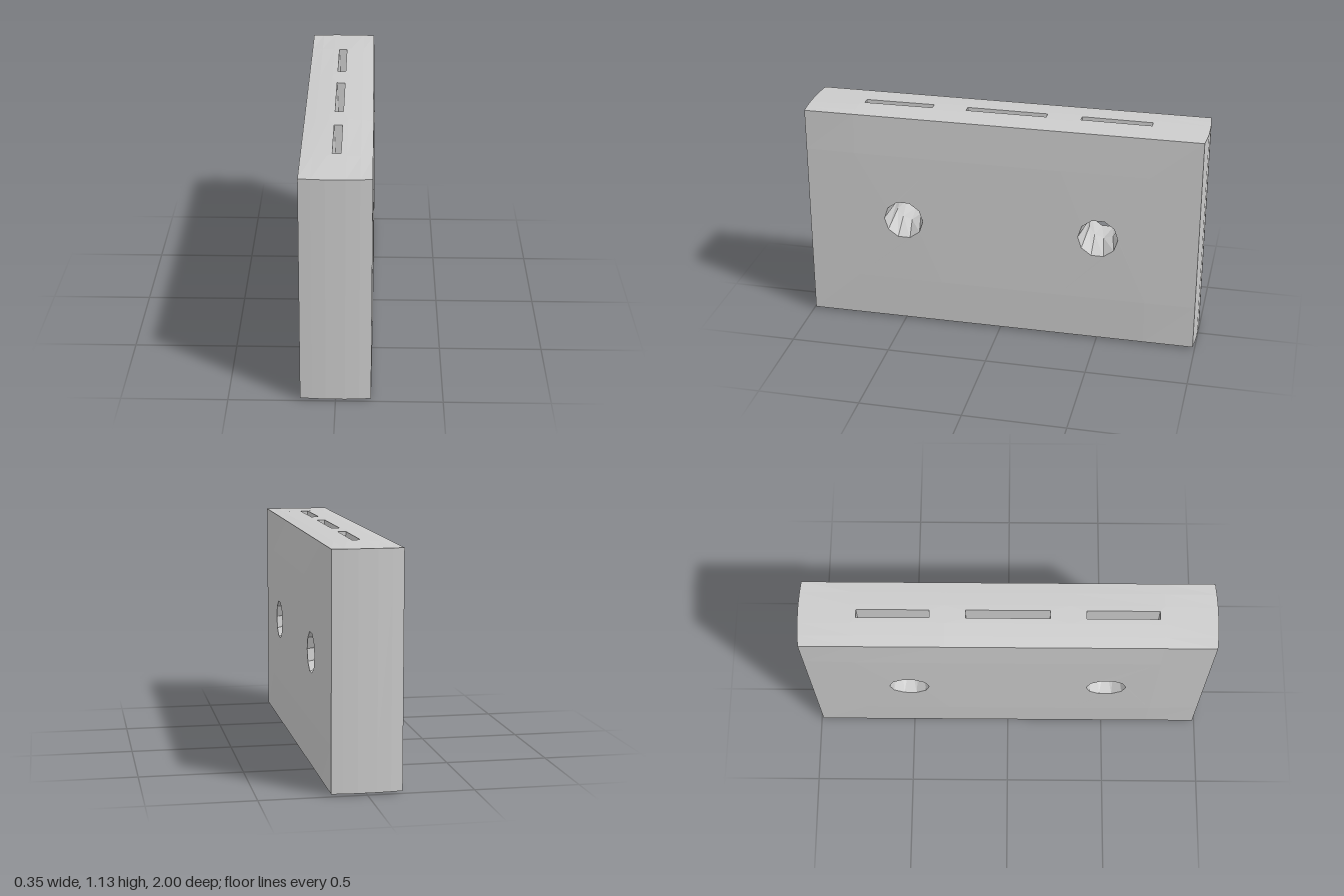
import * as THREE from 'three';
import { mergeGeometries } from 'three/addons/utils/BufferGeometryUtils.js';

const HX = 0.165, HY = 0.555, HZ = 0.99, MID = 0.565;

// Swells a point of the plain box slightly outwards, so all faces are gently domed
function bulge(x, y, z) {
  const a = x / HX, b = y / HY, c = z / HZ;
  return new THREE.Vector3(
    a * (HX + 0.008 * (1 - b ** 4) * (1 - c ** 4)),
    MID + b * (HY + 0.01 * (1 - a * a) * (1 - c ** 6)),
    c * (HZ + 0.01 * (1 - a * a)));
}

// A face split into cells; each opening is cut from the cell around it
function panel(us, vs, place, openings = []) {
  const cells = [];
  for (let i = 0; i + 1 < us.length; i++) {
    for (let j = 0; j + 1 < vs.length; j++) {
      const [u0, u1, v0, v1] = [us[i], us[i + 1], vs[j], vs[j + 1]];
      const shape = new THREE.Shape([[u0, v0], [u1, v0], [u1, v1], [u0, v1]]
        .map(p => new THREE.Vector2(...p)));
      for (const pts of openings) {
        const inside = pts.every(p => p.x > u0 && p.x < u1 && p.y > v0 && p.y < v1);
        if (inside) shape.holes.push(new THREE.Path(pts));
      }
      const geo = new THREE.ShapeGeometry(shape);
      const pos = geo.attributes.position;
      for (let k = 0; k < pos.count; k++) {
        const p = bulge(...place(pos.getX(k), pos.getY(k)));
        pos.setXYZ(k, p.x, p.y, p.z);
      }
      cells.push(geo);
    }
  }
  const merged = mergeGeometries(cells);
  merged.computeVertexNormals();
  return merged;
}

// Skin between closed rings of equal point count
function loft(rings, capLast = false) {
  const n = rings[0].length, index = [];
  for (let r = 0; r + 1 < rings.length; r++) {
    for (let i = 0; i < n; i++) {
      const a = r * n + i, b = r * n + (i + 1) % n;
      index.push(a, b, a + n, b, b + n, a + n);
    }
  }
  const last = (rings.length - 1) * n;
  if (capLast) for (let i = 1; i + 1 < n; i++) index.push(last, last + i, last + i + 1);
  const geo = new THREE.BufferGeometry().setFromPoints(rings.flat());
  geo.setIndex(index);
  geo.computeVertexNormals();
  return geo;
}

export function createModel() {
  const group = new THREE.Group();
  const outer = new THREE.MeshStandardMaterial({ color: 0xcccccc, flatShading: true });
  const inner = new THREE.MeshStandardMaterial({ color: 0xcccccc, flatShading: true, side: THREE.DoubleSide });
  const add = (name, geo, mat) => {
    const mesh = new THREE.Mesh(geo, mat);
    mesh.name = name;
    group.add(mesh);
  };

  // Cut-outs: ten-sided bores through the sides, narrow slots in the top
  const circle = (cz, r, turn = 0) => Array.from({ length: 10 }, (_, i) => {
    const t = (i + turn) * Math.PI / 5;
    return new THREE.Vector2(cz + r * Math.cos(t), 0.005 + r * Math.sin(t));
  });
  const rect = (z0, z1, w) => [[-w, z0], [w, z0], [w, z1], [-w, z1]].map(p => new THREE.Vector2(...p));
  const bores = [-0.495, 0.495];
  const slots = [[-0.715, -0.37], [-0.2, 0.2], [0.37, 0.715]];

  // Domed faces
  const xs = [-HX, -0.11, -0.045, 0.045, 0.11, HX];
  const ys = [-HY, -0.33, 0.35, HY];
  const zs = [-HZ, -0.74, -0.3, 0.3, 0.74, HZ];
  const boreCuts = bores.map(z => circle(z, 0.1));
  const slotCuts = slots.map(([a, b]) => rect(a, b, 0.02));
  add('leftSide', panel(zs, ys, (u, v) => [HX, v, -u], boreCuts), outer);
  add('rightSide', panel(zs, ys, (u, v) => [-HX, v, u], boreCuts), outer);
  add('top', panel(xs, zs, (u, v) => [u, HY, -v], slotCuts), outer);
  add('bottom', panel(xs, zs, (u, v) => [u, -HY, v]), outer);
  add('frontEnd', panel(xs, ys, (u, v) => [u, v, HZ]), outer);
  add('backEnd', panel(xs, ys, (u, v) => [-u, v, -HZ]), outer);

  // Bore walls, narrowing towards the middle
  for (const z of bores) {
    const ring = (x, r, turn) => circle(z, r, turn).map(p => bulge(x, p.y, p.x));
    add('boreWall', loft([ring(-HX, 0.1, 0), ring(0, 0.078, 0.5), ring(HX, 0.1, 0)]), inner);
  }

  // Slot walls, tapering down to a thin floor above the bores
  for (const [z0, z1] of slots) {
    const ring = (y, w) => rect(z0, z1, w).map(p => bulge(p.x, y, p.y));
    add('slotWall', loft([ring(HY, 0.02), ring(HY - 0.38, 0.004)], true), inner);
  }
  return group;
}
